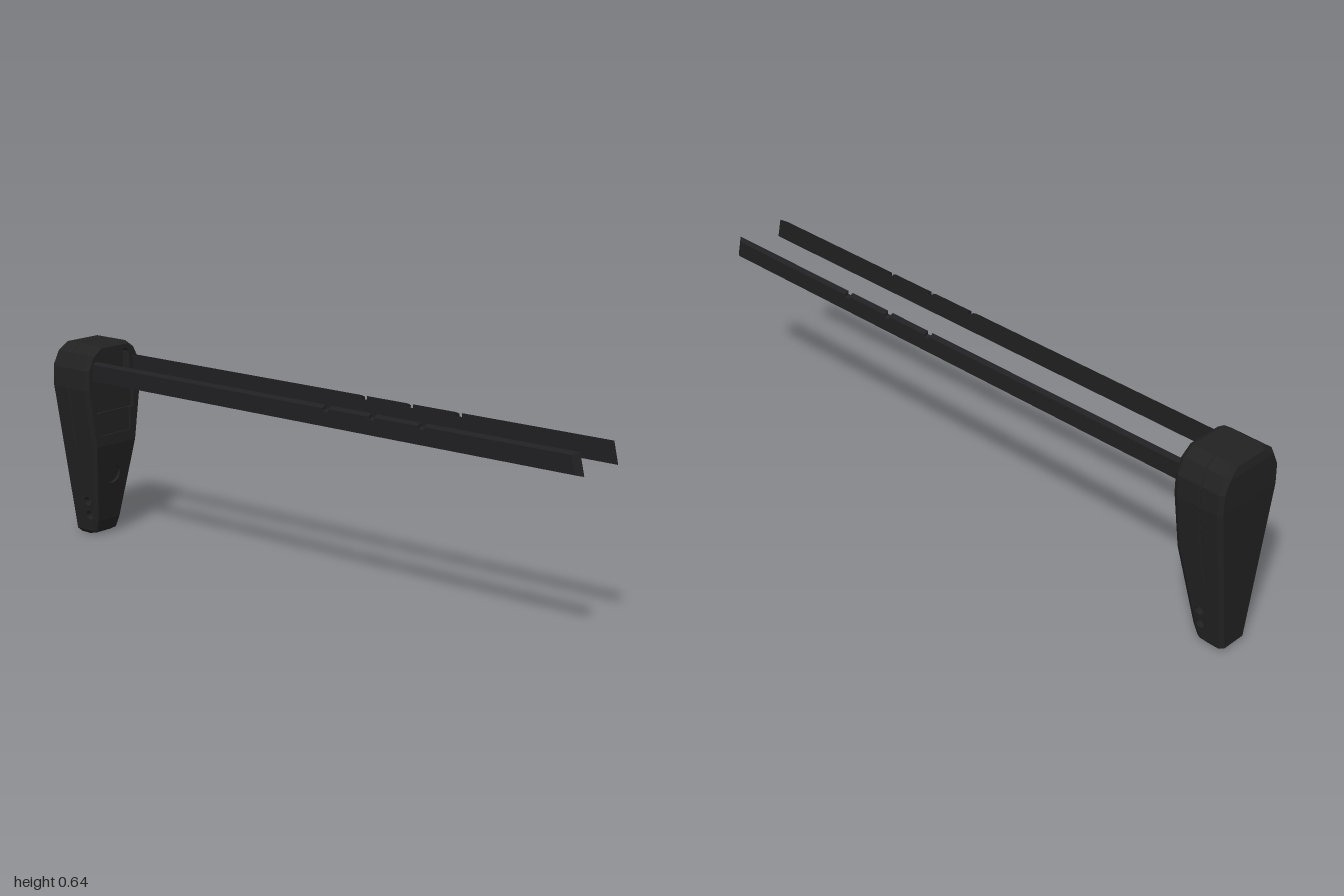
import * as THREE from 'three';

const bodyMat = new THREE.MeshStandardMaterial({ color: 0x222222 });
bodyMat.name = 'matte black';
const railMat = new THREE.MeshStandardMaterial({ color: 0x202022 });
railMat.name = 'dark steel';

// Piecewise-linear lookup of [key, value] pairs
function lerpTable(table, k) {
  for (let i = 1; i < table.length; i++) {
    const [k0, v0] = table[i - 1], [k1, v1] = table[i];
    if (k <= k1) return v0 + (v1 - v0) * (k - k0) / (k1 - k0);
  }
  return table[table.length - 1][1];
}
const sideWidth = y => 0.05 + 0.071 * (y - 0.012) / 0.488;
const frontX = y => lerpTable([[0, -0.91], [0.012, -0.89], [0.05, -0.878], [0.31, -0.835], [1, -0.835]], y);
const backX = y => lerpTable([[0, -0.975], [0.012, -0.985], [0.5, -1], [0.6, -1], [0.64, -0.99]], y);

// Half outline of the butt, bottom to top: [half width, height]
const rows = [[0.04, 0], [0.05, 0.012], [sideWidth(0.05), 0.05], [sideWidth(0.2), 0.2], [sideWidth(0.31), 0.31],
  [0.121, 0.5], [0.12, 0.565], [0.1, 0.613], [0.065, 0.638]];
const insetRow = ([w, y], d) => [w - d, y > 0.6 ? y - d : y === 0 ? d / 2 : y];

function polygon(points) {
  return new THREE.Shape(points.map(p => new THREE.Vector2(p[0], p[1])));
}
const mirrored = half => [...half, ...half.map(([w, y]) => [-w, y]).reverse()];

// Flat-shaded shell through rings running from back to front
function shellGeometry() {
  const bevelB = 0.012, bevelF = 0.015;
  const mid = (y, s) => -0.925 + s + (y < 0.3 ? -0.01 : 0);
  const ringDefs = [
    [y => backX(y), () => 0.01],
    [y => backX(y) + bevelB, () => 0],
    [y => mid(y, -0.003), () => 0],
    [y => mid(y, 0), y => (y > 0.3 ? 0.003 : 0)],
    [y => mid(y, 0.003), () => 0],
    [y => frontX(y) - bevelF, () => 0],
    [y => frontX(y), () => 0.008],
  ];
  const n = rows.length, total = 2 * n;
  const rings = ringDefs.map(([fx, inset]) => {
    const half = rows.map(r => insetRow(r, inset(r[1])));
    return mirrored(half).map(([z, y]) => [fx(y), y, z]);
  });
  const pos = [];
  const quad = (a, b, c, d) => pos.push(...a, ...b, ...c, ...a, ...c, ...d);
  for (let i = 0; i < rings.length - 1; i++) {
    for (let j = 0; j < total; j++) {
      const k = (j + 1) % total;
      const row = j < n ? j : total - 2 - j;
      // the drilled side panels fill this area
      if ((row === 1 || row === 2) && i > 0 && i < rings.length - 2) continue;
      quad(rings[i][j], rings[i + 1][j], rings[i + 1][k], rings[i][k]);
    }
  }
  const back = rings[0], front = rings[rings.length - 1];
  for (let j = 0; j < n - 1; j++) {
    const r = total - 1 - j;
    quad(back[j], back[j + 1], back[r - 1], back[r]);
    if (j < 2) quad(front[r], front[r - 1], front[j + 1], front[j]);
  }
  const g = new THREE.BufferGeometry();
  g.setAttribute('position', new THREE.Float32BufferAttribute(pos, 3));
  g.computeVertexNormals();
  return g;
}

function reshape(g, rule) {
  const p = g.attributes.position, v = new THREE.Vector3();
  for (let i = 0; i < p.count; i++) {
    rule(v.fromBufferAttribute(p, i));
    p.setXYZ(i, v.x, v.y, v.z);
  }
  g.computeVertexNormals();
  return g;
}

// Plate following the front face, between two depths behind it
function frontPlate(shape, from, to) {
  const g = new THREE.ExtrudeGeometry(shape, { depth: from - to, bevelEnabled: false, curveSegments: 16 });
  g.translate(0, 0, -from).rotateY(Math.PI / 2);
  return reshape(g, v => { v.x += frontX(v.y); });
}

// Lower block with two cross holes, widened to meet the tapered sides
function drilledSides() {
  const b = y => [backX(y) + 0.012, y], f = y => [frontX(y) - 0.015, y];
  const s = polygon([b(0.012), f(0.012), f(0.05), f(0.2), b(0.2), b(0.05)]);
  for (const y of [0.067, 0.116]) s.holes.push(new THREE.Path().absarc(-0.908, y, 0.015, 0, Math.PI * 2, true));
  const g = new THREE.ExtrudeGeometry(s, { depth: 2, bevelEnabled: false, curveSegments: 12 });
  g.translate(0, 0, -1);
  return reshape(g, v => { v.z *= sideWidth(v.y); });
}

// Long rail with top notches, slanted tip and a sloped outer face
function railGeometry() {
  const top = 0.592, bottom = 0.527, pts = [[-0.85, bottom], [1, bottom], [0.985, top]];
  for (const x of [0.47, 0.295, 0.125]) {
    pts.push([x + 0.01, top], [x + 0.01, top - 0.011], [x - 0.01, top - 0.011], [x - 0.01, top]);
  }
  pts.push([-0.85, top]);
  const g = new THREE.ExtrudeGeometry(polygon(pts), { depth: 0.015, bevelEnabled: false });
  g.translate(0, 0, 0.083);
  return reshape(g, v => {
    if (v.z < 0.09) return;
    v.y = 0.531 + (v.y - bottom) * 0.82;
    if (v.x > 0.9) v.x -= 0.018;
  });
}

export function createModel() {
  const model = new THREE.Group();
  const add = (parent, name, geometry, material) => {
    const m = new THREE.Mesh(geometry, material);
    m.name = name;
    parent.add(m);
    return m;
  };

  const butt = new THREE.Group();
  butt.name = 'butt';
  model.add(butt);
  add(butt, 'buttShell', shellGeometry(), bodyMat);
  add(butt, 'drilledSides', drilledSides(), bodyMat);

  // Upper front face with its stepped pocket
  const faceRows = rows.map(r => insetRow(r, 0.008));
  const upper = mirrored(faceRows.slice(4));
  const upperFace = polygon(upper);
  upperFace.holes.push(polygon(mirrored([[0.066, 0.345], [0.066, 0.42], [0.083, 0.42], [0.083, 0.525],
    [0.066, 0.54], [0.066, 0.605], [0.055, 0.616]])));
  add(butt, 'upperFace', frontPlate(upperFace, 0.03, 0), bodyMat);
  add(butt, 'pocketFloor', frontPlate(polygon(upper), 0.032, 0.028), bodyMat);
  add(butt, 'middlePanel', frontPlate(polygon(mirrored([[0.083, 0.42], [0.083, 0.525], [0.066, 0.54]])), 0.03, 0.014), bodyMat);
  add(butt, 'lowerPanel', frontPlate(polygon(mirrored([[0.066, 0.345], [0.066, 0.42]])), 0.03, 0.007), bodyMat);

  // Sloped lower front face with a round recess
  const lower = mirrored(faceRows.slice(2, 5));
  const lowerFace = polygon(lower);
  lowerFace.holes.push(new THREE.Path().absarc(0, 0.205, 0.03, 0, Math.PI * 2, true));
  add(butt, 'lowerFace', frontPlate(lowerFace, 0.012, 0), bodyMat);
  add(butt, 'recessFloor', frontPlate(polygon(lower), 0.014, 0.011), bodyMat);

  // Pair of rails, the right one a half-turn-free mirror of the left
  const left = railGeometry();
  add(model, 'leftRail', left, railMat);
  add(model, 'rightRail', left, railMat).scale.z = -1;

  return model;
}
